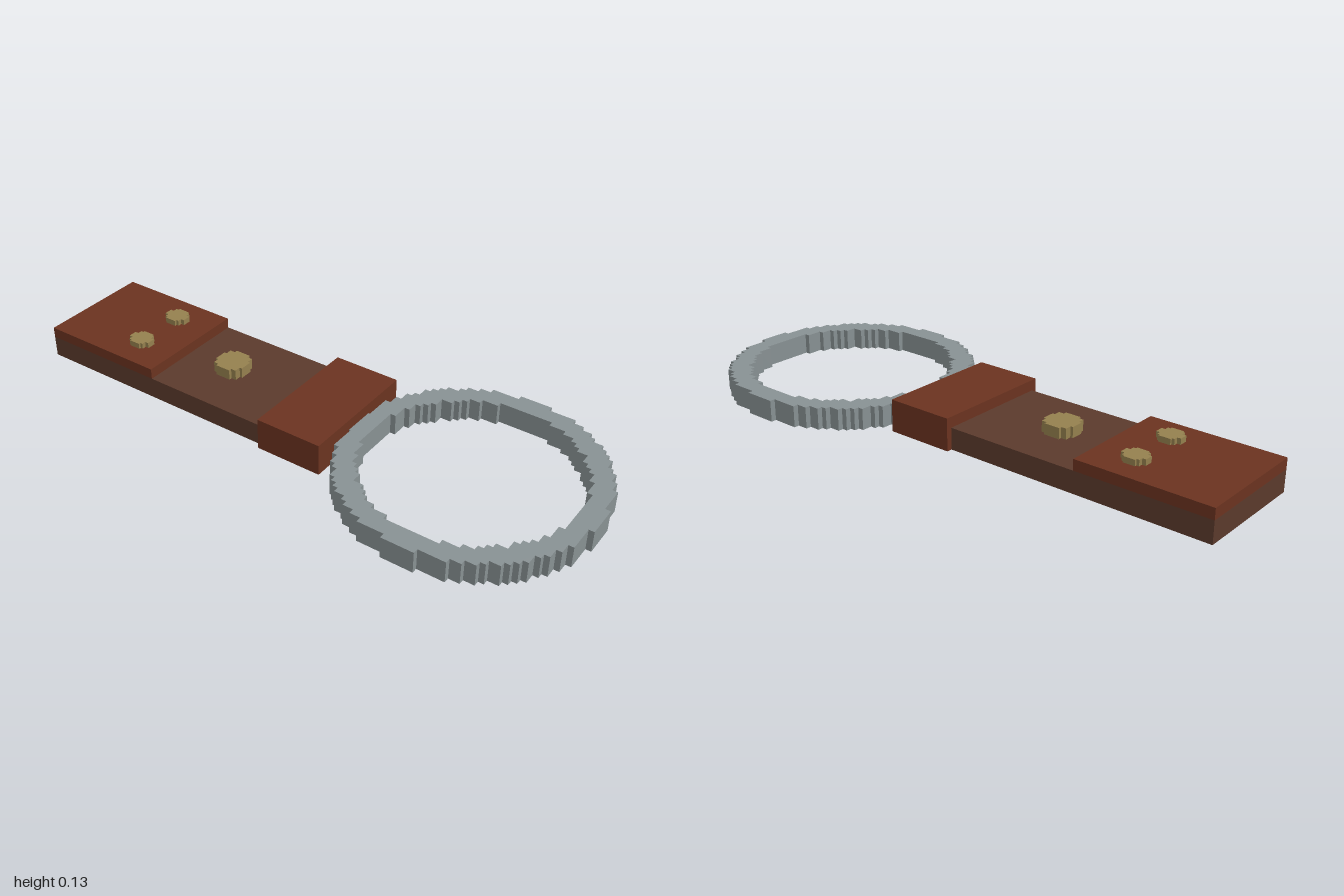
import * as THREE from 'three';

const UNIT = 0.0185; // width of one step in the stepped circles

function material(name, color) {
  const m = new THREE.MeshStandardMaterial({ color });
  m.name = name;
  return m;
}

// Corners of a stepped round outline, mirrored from one quadrant of [x, z] corners
function steppedOutline(corners) {
  const quadrant = [];
  corners.forEach(([x, z], i) => {
    if (i > 0) quadrant.push([corners[i - 1][0], z]);
    quadrant.push([x, z]);
  });
  const points = [];
  for (const [sx, sz] of [[1, 1], [1, -1], [-1, -1], [-1, 1]]) {
    const part = quadrant.map(([x, z]) => new THREE.Vector2(sx * x * UNIT, sz * z * UNIT));
    if (sx * sz < 0) part.reverse();
    points.push(...part);
  }
  return points.reverse(); // counter-clockwise, so hole walls face inwards
}

// Upright prism standing on its own base
function prism(outer, height, inner) {
  const shape = new THREE.Shape(steppedOutline(outer));
  if (inner) shape.holes.push(new THREE.Path(steppedOutline(inner)));
  return new THREE.ExtrudeGeometry(shape, { depth: height, bevelEnabled: false }).rotateX(-Math.PI / 2);
}

export function createModel() {
  const model = new THREE.Group();
  const darkWood = material('dark wood', 0x5b3a2c);
  const redWood = material('red wood', 0x6b3320);
  const brass = material('brass', 0x95804e);
  const steel = material('steel', 0x889193);

  function add(name, geometry, mat, x, y, z) {
    const mesh = new THREE.Mesh(geometry, mat);
    mesh.name = name;
    mesh.position.set(x, y, z);
    model.add(mesh);
  }
  function addBlock(name, mat, x0, x1, y0, y1, halfZ) {
    const geometry = new THREE.BoxGeometry(x1 - x0, y1 - y0, halfZ * 2);
    add(name, geometry, mat, (x0 + x1) / 2, (y0 + y1) / 2, 0);
  }

  // Handle: long base, raised end plate and thick collar
  addBlock('handleBase', darkWood, -1, -0.075, 0, 0.074, 0.203);
  addBlock('endPlate', redWood, -1, -0.54, 0.074, 0.111, 0.203);
  addBlock('collar', redWood, -0.075, 0.162, 0, 0.111, 0.222);

  // Ring with stepped outer and inner edges
  const outer = [[3, 23], [8, 22], [10, 21], [12, 20], [13, 19], [15, 18], [16, 17],
    [17, 16], [18, 15], [19, 13], [20, 12], [21, 10], [22, 8], [23, 3]];
  const inner = [[5, 19], [8, 18], [10, 17], [11, 16], [12, 15], [14, 14],
    [15, 12], [16, 11], [17, 10], [18, 8], [19, 5]];
  add('ring', prism(outer, 0.074, inner), steel, 0.5745, 0, 0);

  // Studs
  add('largeStud', prism([[1.5, 3], [2.5, 2.4], [3, 1.2]], 0.037), brass, -0.352, 0.074, 0);
  for (const side of [1, -1]) {
    add('smallStud', prism([[1.1, 2], [1.6, 1.6], [2.3, 0.8]], 0.02), brass, -0.68, 0.111, side * 0.093);
  }

  return model;
}
